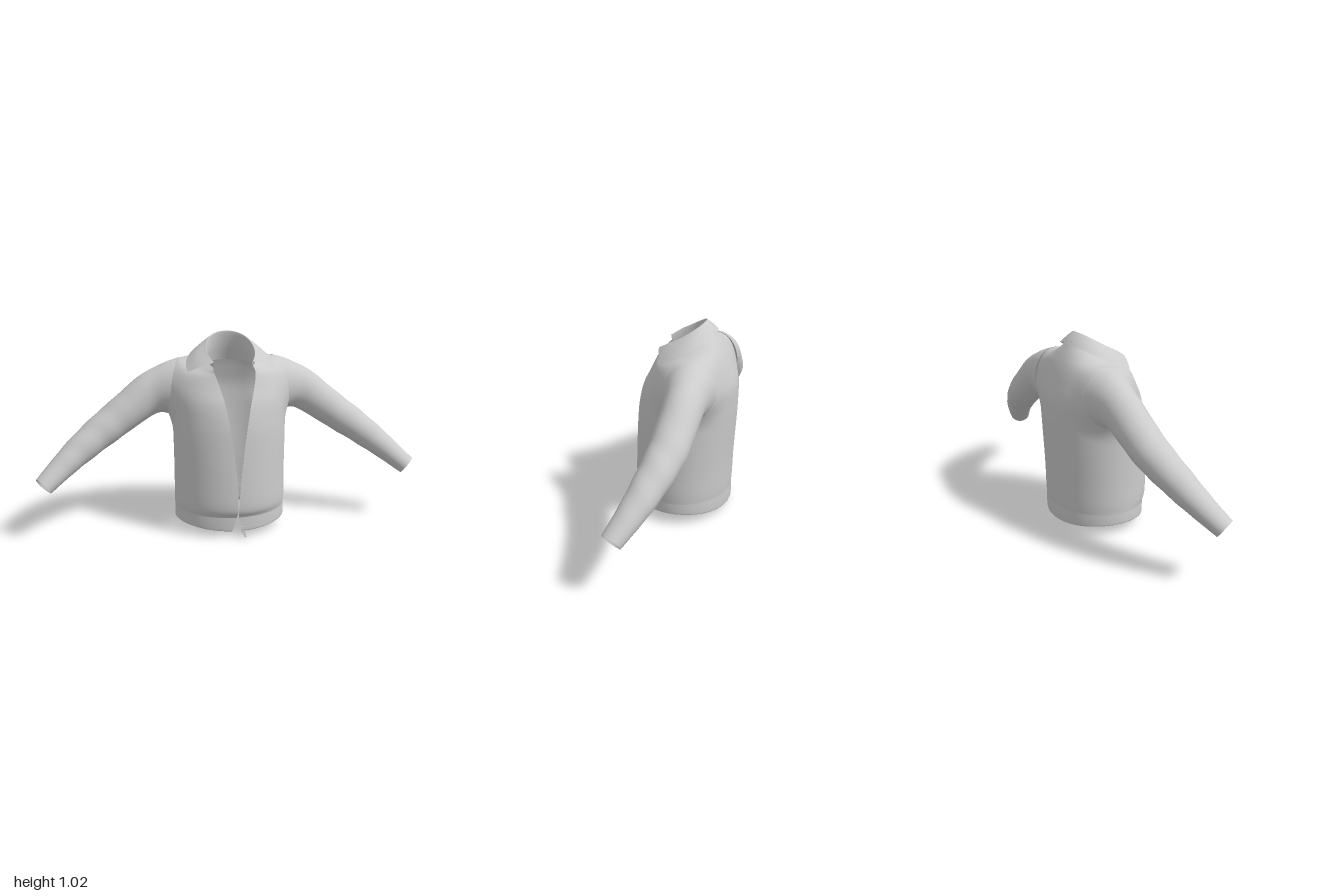
import * as THREE from 'three';
import { mergeVertices } from 'three/addons/utils/BufferGeometryUtils.js';

const material = new THREE.MeshStandardMaterial({ color: 0xcccccc, side: THREE.DoubleSide });

// Smooth surface from a point rule fn(u, v), both running 0..1
function surface(name, fn, nu, nv) {
  const pos = [], index = [];
  for (let j = 0; j <= nv; j++)
    for (let i = 0; i <= nu; i++) pos.push(...fn(i / nu, j / nv));
  for (let j = 0; j < nv; j++)
    for (let i = 0; i < nu; i++) {
      const a = j * (nu + 1) + i, c = a + nu + 1;
      index.push(a, a + 1, c, a + 1, c + 1, c);
    }
  let geo = new THREE.BufferGeometry();
  geo.setAttribute('position', new THREE.Float32BufferAttribute(pos, 3));
  geo.setIndex(index);
  geo = mergeVertices(geo, 1e-5);
  geo.computeVertexNormals();
  const mesh = new THREE.Mesh(geo, material);
  mesh.name = name;
  return mesh;
}

// Catmull-Rom blend of a list of parameter rows at v = 0..1
function blend(keys, v) {
  const n = keys.length - 1, s = Math.min(Math.max(v, 0), 1) * n;
  const i = Math.min(Math.floor(s), n - 1), f = s - i;
  const p1 = keys[i], p2 = keys[i + 1];
  const p0 = keys[i - 1] || p1.map((a, k) => 2 * a - p2[k]);
  const p3 = keys[i + 2] || p2.map((a, k) => 2 * a - p1[k]);
  return p1.map((b, k) => {
    const a = p0[k], c = p2[k], d = p3[k];
    return b + 0.5 * f * (c - a + f * (2 * a - 5 * b + 4 * c - d + f * (3 * (b - c) + d - a)));
  });
}

// Joins crossing surfaces: cuts away what lies inside the other one and
// swells the points near the seam outward into a soft fillet of reach k
function join(meshes, pairs, k) {
  const old = meshes.map(m => m.geometry.attributes.position.array.slice());
  const normals = meshes.map(m => m.geometry.attributes.normal.array.slice());
  const inside = meshes.map(() => new Set());
  for (const [m, o] of pairs) {
    const out = meshes[m].geometry.attributes.position.array;
    const P = old[m], Q = old[o], N = normals[o];
    for (let i = 0; i < P.length; i += 3) {
      let d2 = 0.03, near = -1;
      for (let j = 0; j < Q.length; j += 3) {
        const x = P[i] - Q[j], y = P[i + 1] - Q[j + 1], z = P[i + 2] - Q[j + 2];
        const d = x * x + y * y + z * z;
        if (d < d2) { d2 = d; near = j; }
      }
      if (near < 0) continue;
      let depth = 0;
      for (let a = 0; a < 3; a++) depth += (Q[near + a] - P[i + a]) * N[near + a];
      if (depth > 0.008) inside[m].add(i / 3);
      const h = Math.max(k - Math.sqrt(d2), 0) ** 2 / (4 * k);
      for (let a = 0; a < 3; a++) out[i + a] += normals[m][i + a] * h;
    }
  }
  meshes.forEach((mesh, m) => {
    const geo = mesh.geometry, idx = geo.index.array, kept = [];
    geo.computeVertexNormals();
    for (let i = 0; i < idx.length; i += 3) {
      const tri = [idx[i], idx[i + 1], idx[i + 2]];
      if (!tri.every(p => inside[m].has(p))) kept.push(...tri);
    }
    geo.setIndex(kept);
  });
}

// Point on an open ring around the body; u runs from the left front edge round the back
// row: yFront, ySide, yBack, halfWidth, zFront, zBack, zCentre, leftGap, rightGap, roundness
function ringPoint([yF, yS, yB, w, zF, zB, c, gL, gR, e], u) {
  const edge = g => Math.asin(Math.pow(Math.min(Math.max(g, 0) / w, 0.995), 1 / e));
  const t0 = edge(gL), t1 = 2 * Math.PI - edge(gR), t = t0 + (t1 - t0) * u;
  const sn = Math.sin(t), cs = Math.cos(t);
  const pw = a => Math.sign(a) * Math.pow(Math.abs(a), e);
  const y = yS + (yF - yB) / 2 * cs + ((yF + yB) / 2 - yS) * cs * cs;
  return [w * pw(sn), y, c + (cs > 0 ? zF - c : c - zB) * pw(cs)];
}

const bodyRows = [
  [0.11, 0.115, 0.11, 0.289, 0.243, -0.236, 0, 0.006, 0.006, 1],
  [0.16, 0.17, 0.16, 0.291, 0.264, -0.24, 0, 0.002, 0.002, 1],
  [0.3, 0.3, 0.3, 0.29, 0.262, -0.246, 0, 0.012, 0.005, 1],
  [0.5, 0.5, 0.5, 0.293, 0.25, -0.26, 0, 0.036, 0.028, 1],
  [0.6, 0.6, 0.6, 0.296, 0.238, -0.265, -0.01, 0.053, 0.042, 1],
  [0.69, 0.7, 0.7, 0.298, 0.213, -0.262, -0.03, 0.073, 0.057, 0.95],
  [0.76, 0.79, 0.79, 0.288, 0.178, -0.237, -0.05, 0.095, 0.074, 0.92],
  [0.81, 0.85, 0.86, 0.256, 0.156, -0.21, -0.05, 0.108, 0.09, 0.9],
  [0.835, 0.88, 0.915, 0.193, 0.154, -0.18, -0.03, 0.11, 0.1, 0.93],
  [0.84, 0.908, 0.968, 0.13, 0.18, -0.142, 0, 0.106, 0.104, 1],
];
const bandRows = [
  [0.055, 0.075, 0.055, 0.281, 0.233, -0.228, 0, 0.03, 0.03, 1],
  [0.036, 0.058, 0.034, 0.289, 0.241, -0.235, 0, 0.03, 0.03, 1],
  [0.07, 0.085, 0.07, 0.29, 0.243, -0.237, 0, 0.018, 0.018, 1],
  [0.11, 0.115, 0.11, 0.289, 0.243, -0.236, 0, 0.006, 0.006, 1],
];
// Collar: stand base, rolled fold, falling outer edge
const collarRows = [
  [0.85, 0.86, 0.86, 0.12, 0.19, -0.15, 0.02, 0.105, 0.105, 1],
  [0.855, 0.9, 0.945, 0.118, 0.175, -0.115, 0.03, 0.1, 0.1, 0.96],
  [0.865, 0.94, 1.013, 0.123, 0.16, -0.098, 0.03, 0.1, 0.1, 0.92],
  [0.856, 0.936, 1.013, 0.134, 0.168, -0.108, 0.03, 0.11, 0.11, 0.92],
  [0.806, 0.903, 0.99, 0.18, 0.205, -0.135, 0.035, 0.168, 0.168, 1],
  [0.741, 0.855, 0.965, 0.228, 0.236, -0.156, 0.04, 0.226, 0.226, 1],
];
// Sleeve: centre x, y, z, then the radius across its height and its depth
const sleeveRows = [
  [0.24, 0.742, -0.088, 0.118, 0.1],
  [0.31, 0.736, -0.09, 0.12, 0.103],
  [0.4, 0.705, -0.092, 0.108, 0.098],
  [0.5, 0.637, -0.085, 0.097, 0.096],
  [0.6, 0.565, -0.072, 0.09, 0.094],
  [0.7, 0.495, -0.045, 0.082, 0.086],
  [0.8, 0.42, -0.008, 0.071, 0.076],
  [0.88, 0.355, 0.03, 0.06, 0.066],
  [0.965, 0.283, 0.077, 0.049, 0.056],
];

function sleevePoint(u, v, side, inset) {
  const [x, y, z, rUp, rSide] = blend(sleeveRows, v);
  const a = blend(sleeveRows, v - 0.02), b = blend(sleeveRows, v + 0.02);
  const along = new THREE.Vector3(b[0] - a[0], b[1] - a[1], b[2] - a[2]).normalize();
  const depth = along.clone().cross(new THREE.Vector3(0, 1, 0)).normalize();
  const up = depth.clone().cross(along);
  const t = 2 * Math.PI * side * u;
  // soft creases around the elbow and forearm
  const fade = v > 0.35 && v < 0.95 ? Math.sin((v - 0.35) / 0.6 * Math.PI) : 0;
  const k = 1 + 0.015 * fade * Math.sin(v * 46 + 2 * Math.sin(t));
  const p = new THREE.Vector3(x, y, z)
    .addScaledVector(up, Math.cos(t) * (rUp * k - inset))
    .addScaledVector(depth, Math.sin(t) * (rSide * k - inset));
  return [p.x * side, p.y, p.z];
}

export function createModel() {
  const jacket = new THREE.Group();
  jacket.name = 'jacket';

  const body = surface('body', (u, v) => ringPoint(blend(bodyRows, v), u), 128, 84);
  const sleeves = [1, -1].map(side => surface(side > 0 ? 'leftSleeve' : 'rightSleeve',
    (u, v) => sleevePoint(u, v, side, 0), 56, 90));
  join([body, ...sleeves], [[0, 1], [0, 2], [1, 0], [2, 0]], 0.12);
  jacket.add(body, ...sleeves);
  jacket.add(surface('waistband', (u, v) => ringPoint(blend(bandRows, v), u), 112, 12));
  jacket.add(surface('collar', (u, v) => ringPoint(blend(collarRows, v), u), 64, 25));

  for (const side of [1, -1]) {
    const label = side > 0 ? 'left' : 'right';
    // turned-in cuff lining
    jacket.add(surface(label + 'CuffLining',
      (u, v) => sleevePoint(u, 1 - 0.06 * v, side, Math.min(v * 4, 1) * 0.006), 56, 8));
    // facing folded inward along the front opening, widening toward the neck
    jacket.add(surface(label + 'FrontFacing', (u, v) => {
      const [x, y, z] = ringPoint(blend(bodyRows, v), side > 0 ? 0 : 1);
      const width = Math.min(v * 2, 1);
      return [x + side * 0.012 * width * u * u, y, z - 0.025 * width * u];
    }, 4, 84));
  }

  // Zip slider and hanging pull at the hem
  const zip = new THREE.Group();
  zip.name = 'zipPull';
  const slider = new THREE.Mesh(new THREE.BoxGeometry(0.012, 0.03, 0.008), material);
  slider.name = 'zipSlider';
  slider.position.set(0.022, 0.045, 0.243);
  const tab = new THREE.Mesh(new THREE.BoxGeometry(0.008, 0.034, 0.004), material);
  tab.name = 'zipTab';
  tab.position.set(0.034, 0.018, 0.246);
  tab.rotation.z = 0.35;
  zip.add(slider, tab);
  jacket.add(zip);
  return jacket;
}
